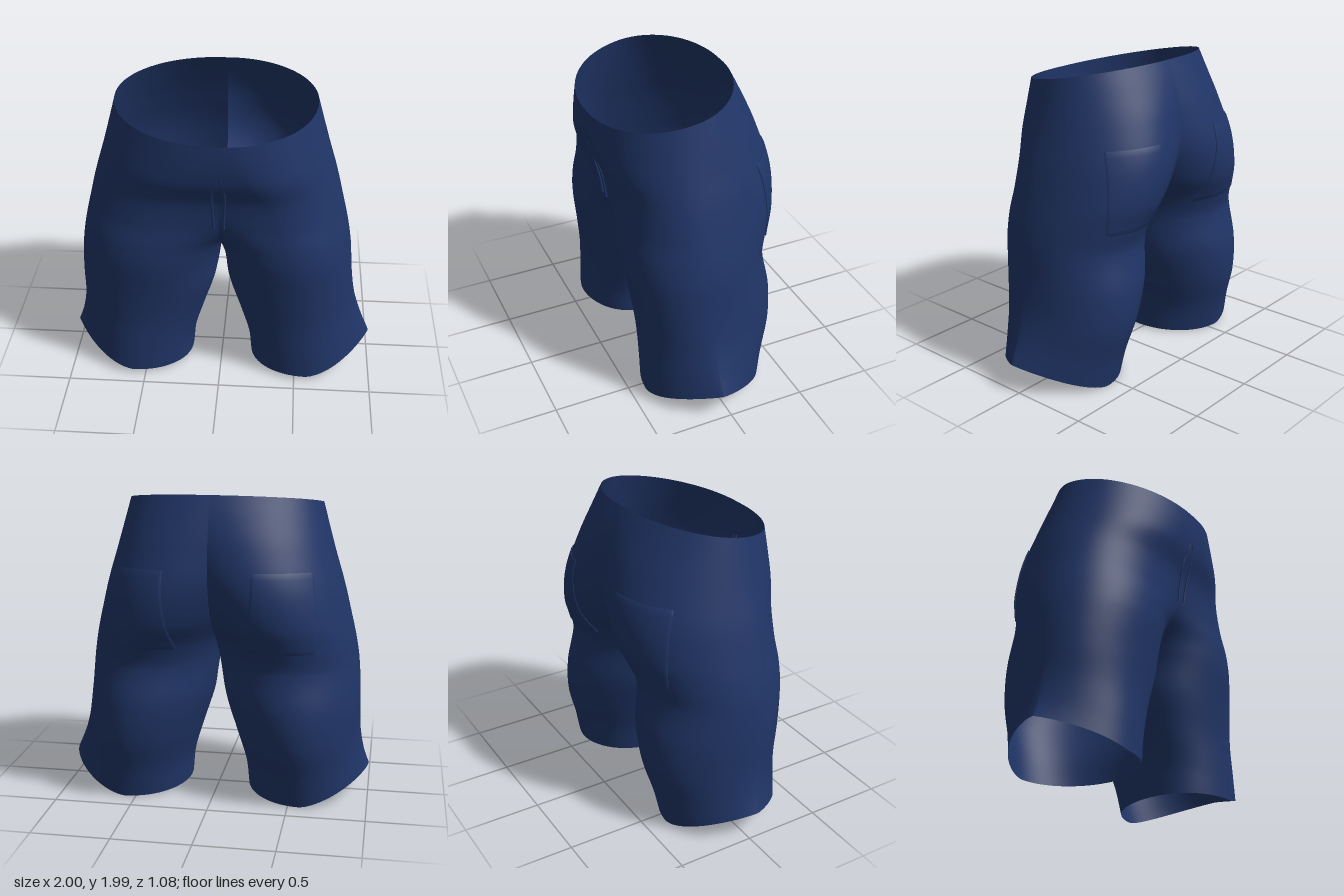
import * as THREE from 'three';

// Half cross-sections from hem to waist:
// level, outer x, lobe centre x, front inner radius, back inner radius, front z, back z
const SECTIONS = [
  [0.02, 1.0, 0.58, 0.38, 0.38, 0.41, -0.36],
  [0.2, 0.955, 0.56, 0.38, 0.38, 0.41, -0.4],
  [0.42, 0.915, 0.53, 0.415, 0.415, 0.41, -0.46],
  [0.65, 0.895, 0.49, 0.447, 0.447, 0.43, -0.47],
  [0.9, 0.875, 0.45, 0.45, 0.45, 0.46, -0.43],
  [1.05, 0.85, 0.42, 0.53, 0.46, 0.46, -0.465],
  [1.2, 0.815, 0.36, 0.8, 0.49, 0.448, -0.52],
  [1.4, 0.765, 0.28, 1.3, 0.54, 0.458, -0.535],
  [1.6, 0.705, 0.18, 2.0, 0.6, 0.51, -0.48],
  [1.78, 0.655, 0.08, 2.5, 0.8, 0.53, -0.41],
  [1.91, 0.62, 0.03, 3.0, 1.0, 0.53, -0.355],
];
const HEM = 0.02, CROTCH = 0.9, WAIST = 1.91;

// Smooth interpolation of the section table
function sectionAt(level) {
  const n = SECTIONS.length;
  let k = 0;
  while (k < n - 2 && level > SECTIONS[k + 1][0]) k++;
  const p = SECTIONS[k], q = SECTIONS[k + 1];
  const before = SECTIONS[Math.max(k - 1, 0)], after = SECTIONS[Math.min(k + 2, n - 1)];
  const h = q[0] - p[0], s = (level - p[0]) / h, s2 = s * s, s3 = s2 * s;
  return p.map((v, i) => {
    const m0 = (q[i] - before[i]) / (q[0] - before[0]) * h;
    const m1 = (after[i] - v) / (after[0] - p[0]) * h;
    return v * (2 * s3 - 3 * s2 + 1) + m0 * (s3 - 2 * s2 + s) + q[i] * (3 * s2 - 2 * s3) + m1 * (s3 - s2);
  });
}

// Point on one half, x still positive; t runs from 1 (front centre) over 0 (outer side) to -1 (back centre)
function surface(t, level, side) {
  const [, outer, cx, bf, bb, zf, zb] = sectionAt(level);
  const b = t > 0 ? bf : bb, cz = 0.06;
  const end = level > CROTCH + 1e-6 && b > cx ? Math.acos(-cx / b) : Math.PI;
  const angle = Math.abs(t) * end, c = Math.cos(angle), s = Math.max(0, Math.sin(angle));
  // The cloth hangs a little wider on the right side
  const lean = -0.038 * side * THREE.MathUtils.smoothstep(level, HEM, 0.8);
  const x = Math.max(0, cx + c * (c > 0 ? outer + lean - cx : b));
  // The outer side narrows to a ridge towards the hem
  const ridge = 1 - THREE.MathUtils.smoothstep(level, HEM - 0.3, 0.75);
  const frontPower = c > 0 ? 0.97 + 1.1 * ridge : 0.87;
  const backPower = c > 0 ? 1 + 0.4 * ridge : 1;
  const z = cz + (t > 0 ? Math.pow(s, frontPower) * (zf - cz) : Math.pow(s, backPower) * (zb - cz));
  const hemCurve = 0.16 * Math.pow(Math.max(c, 0), 1.3) + 0.035 * (z - 0.06);
  const hemLift = hemCurve * Math.pow(Math.max(0, 1 - (level - HEM) / 0.6), 1.5);
  const tilt = -0.19 * (z - 0.07) * THREE.MathUtils.smoothstep(level, 1.2, 1.85);
  return new THREE.Vector3(x, level + hemLift + tilt, z);
}

// Same point, pushed outward
function raised(t, level, height, side) {
  const e = 0.01;
  const du = surface(t - e, level, side).sub(surface(t + e, level, side));
  const dv = surface(t, level + e, side).sub(surface(t, level - e, side));
  return surface(t, level, side).addScaledVector(du.cross(dv).normalize(), height);
}

// Grid of points to a smooth surface; side -1 mirrors it
function gridGeometry(cols, rows, point, side) {
  const positions = [], index = [];
  for (let j = 0; j <= rows; j++) {
    for (let i = 0; i <= cols; i++) {
      const p = point(i, j);
      positions.push(p.x * side, p.y, p.z);
    }
  }
  for (let j = 0; j < rows; j++) {
    for (let i = 0; i < cols; i++) {
      const a = j * (cols + 1) + i, b = a + 1, c = a + cols + 1, d = c + 1;
      if (side > 0) index.push(a, b, d, a, d, c);
      else index.push(a, d, b, a, c, d);
    }
  }
  const geometry = new THREE.BufferGeometry();
  geometry.setAttribute('position', new THREE.Float32BufferAttribute(positions, 3));
  geometry.setIndex(index);
  geometry.computeVertexNormals();
  return geometry;
}

// Leg and half of the seat, with rows crowded above the crotch
function halfBody(side) {
  const low = 32, high = 56, cols = 80;
  return gridGeometry(cols, low + high, (i, j) => {
    const level = j <= low
      ? THREE.MathUtils.lerp(HEM, CROTCH, j / low)
      : CROTCH + (WAIST - CROTCH) * Math.pow((j - low) / high, 1.6);
    return surface(1 - 2 * i / cols, level, side);
  }, side);
}

// Sewn-on cloth following the body, with its rim folded down
function patch(t0, t1, y0, y1, height, side) {
  const cols = 24, rows = 16;
  return gridGeometry(cols, rows, (i, j) => {
    const u = THREE.MathUtils.clamp((i - 1) / (cols - 2), 0, 1);
    const v = THREE.MathUtils.clamp((j - 1) / (rows - 2), 0, 1);
    const rim = i === 0 || i === cols || j === 0 || j === rows;
    return raised(THREE.MathUtils.lerp(t0, t1, u), THREE.MathUtils.lerp(y0, y1, v), rim ? 0 : height, side);
  }, side);
}

export function createModel() {
  const group = new THREE.Group();
  group.name = 'shorts';
  const cloth = new THREE.MeshStandardMaterial({ color: 0x203567, side: THREE.DoubleSide });
  cloth.name = 'navy cloth';

  const add = (name, geometry) => {
    const mesh = new THREE.Mesh(geometry, cloth);
    mesh.name = name;
    group.add(mesh);
  };

  for (const side of [1, -1]) {
    const label = side > 0 ? 'left' : 'right';
    add(label + 'Leg', halfBody(side));
    add(label + 'BackPocket', patch(-0.38, -0.75, 1.04, 1.5, 0.008, side));

    // Drawstring
    const path = new THREE.CatmullRomCurve3([
      [0.012, 1.6, 0.517], [0.04, 1.46, 0.478], [0.035, 1.33, 0.446], [0.03, 1.2, 0.428],
    ].map(([x, y, z]) => new THREE.Vector3(x * side, y, z)));
    add(label + 'Drawstring', new THREE.TubeGeometry(path, 20, 0.008, 8));
  }
  return group;
}
